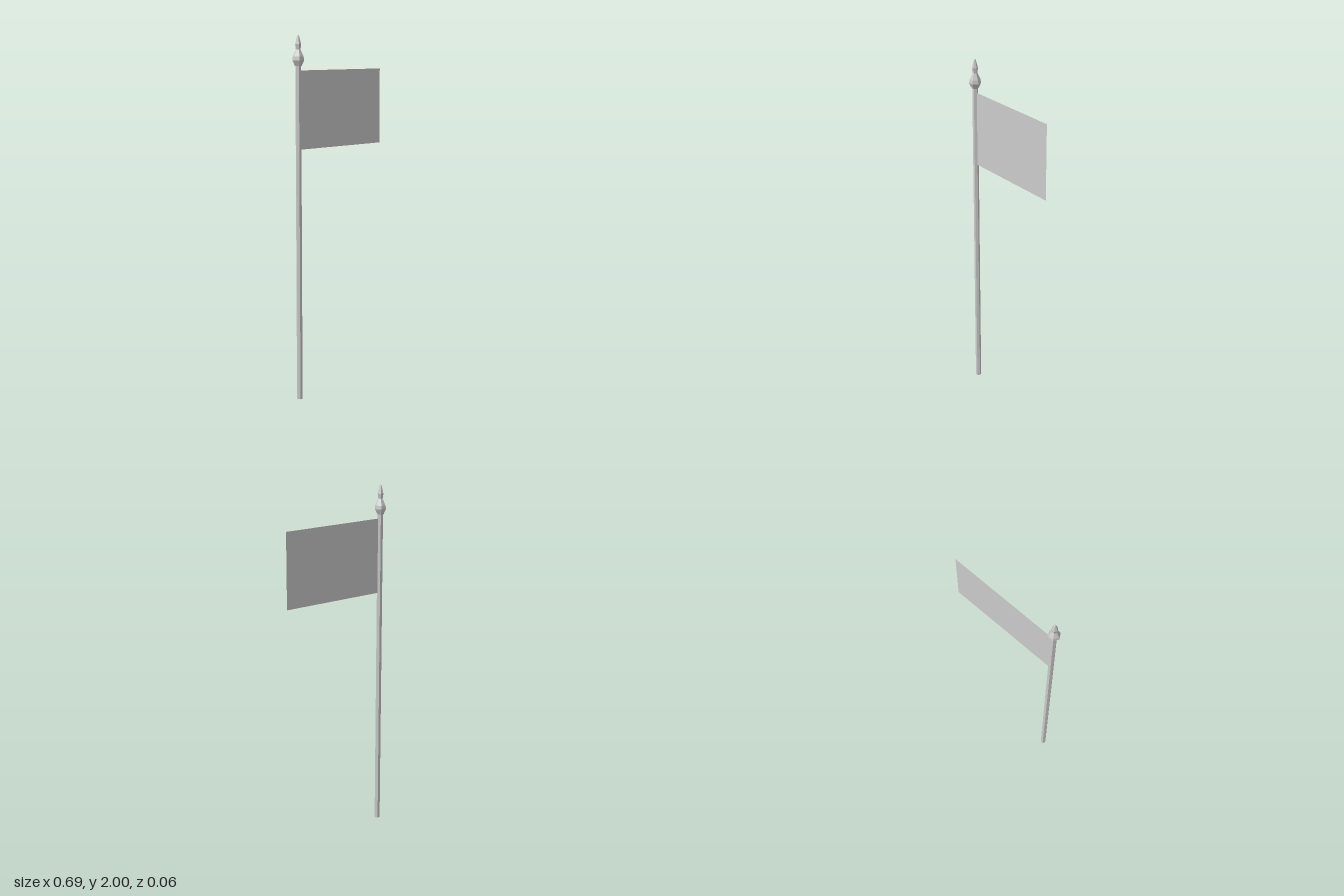
import * as THREE from 'three';

const POLE_X = -0.311;
const SIDES = 6;

export function createModel() {
  const group = new THREE.Group();
  const metal = new THREE.MeshStandardMaterial({ color: 0xcccccc, flatShading: true });
  const cloth = new THREE.MeshStandardMaterial({ color: 0xcccccc, side: THREE.DoubleSide });

  const add = (name, geometry, material, x, y) => {
    const mesh = new THREE.Mesh(geometry, material);
    mesh.name = name;
    mesh.position.set(x, y, 0);
    group.add(mesh);
  };

  // Hexagonal pole, corners pointing along x
  const poleHeight = 1.84;
  const pole = new THREE.CylinderGeometry(0.016, 0.016, poleHeight, SIDES, 1, false, Math.PI / 2);
  add('pole', pole, metal, POLE_X, poleHeight / 2);

  // Spear-shaped finial: [radius, height]
  const profile = [
    [0, 1.835], [0.019, 1.835], [0.033, 1.865], [0.03, 1.885],
    [0.013, 1.922], [0.017, 1.95], [0.005, 1.997], [0, 2],
  ].map(([r, y]) => new THREE.Vector2(r, y));
  add('finial', new THREE.LatheGeometry(profile, SIDES, Math.PI / 2), metal, POLE_X, 0);

  // Flat flag flying from the side of the pole
  const left = -0.305, right = 0.344, bottom = 1.386, top = 1.811;
  const flag = new THREE.PlaneGeometry(right - left, top - bottom);
  add('flag', flag, cloth, (left + right) / 2, (top + bottom) / 2);

  return group;
}
